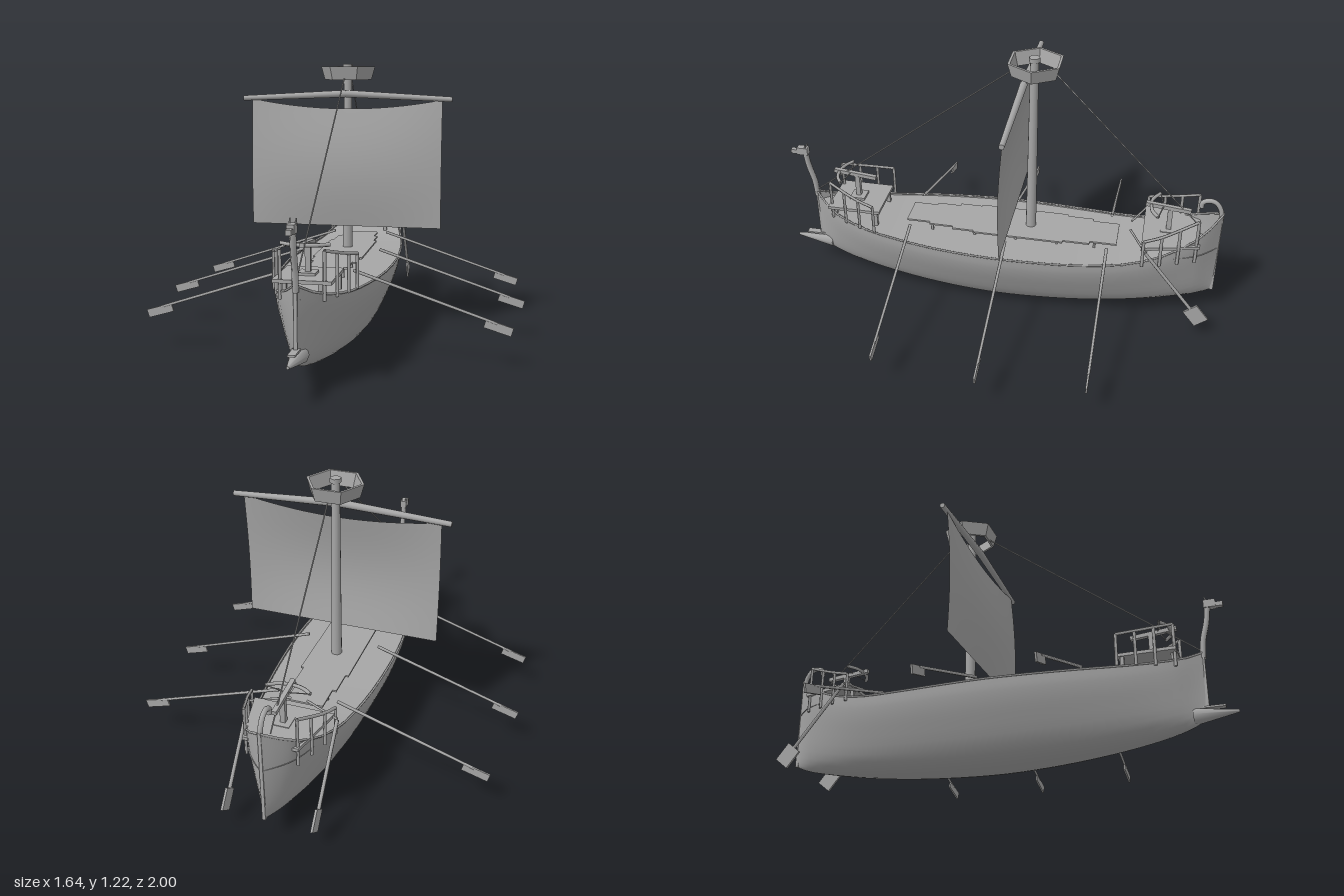
import * as THREE from 'three';

const V = (x, y, z) => new THREE.Vector3(x, y, z);

// hull stations from bow to stern: z, half width, keel height, sheer height
const STATIONS = [
  [0.88, 0.004, 0.15, 0.425], [0.84, 0.035, 0.115, 0.4], [0.76, 0.09, 0.085, 0.37],
  [0.6, 0.152, 0.052, 0.346], [0.4, 0.198, 0.025, 0.338], [0.2, 0.227, 0.008, 0.335],
  [0, 0.24, 0, 0.335], [-0.2, 0.236, 0.004, 0.335], [-0.4, 0.22, 0.016, 0.338],
  [-0.6, 0.19, 0.037, 0.352], [-0.75, 0.155, 0.06, 0.39], [-0.9, 0.1, 0.09, 0.465],
  [-0.96, 0.05, 0.11, 0.51], [-1, 0.004, 0.13, 0.545],
];

// half width at a given z
function widthAt(z) {
  const i = Math.max(1, STATIONS.findIndex((s) => s[0] <= z));
  const a = STATIONS[i - 1], b = STATIONS[i];
  return THREE.MathUtils.lerp(a[1], b[1], (a[0] - z) / (a[0] - b[0]));
}

// skin a grid of points, rows[i][j]
function loft(rows) {
  const n = rows[0].length, pos = [], idx = [];
  rows.forEach((r) => r.forEach((p) => pos.push(p.x, p.y, p.z)));
  for (let i = 0; i < rows.length - 1; i++) {
    for (let j = 0; j < n - 1; j++) {
      const a = i * n + j;
      idx.push(a, a + 1, a + n, a + 1, a + n + 1, a + n);
    }
  }
  const g = new THREE.BufferGeometry();
  g.setAttribute('position', new THREE.Float32BufferAttribute(pos, 3));
  g.setIndex(idx);
  g.computeVertexNormals();
  return g;
}

export function createModel() {
  const ship = new THREE.Group();
  ship.name = 'galley';
  const grey = new THREE.MeshStandardMaterial({ color: 0xa6a6a6, side: THREE.DoubleSide });
  grey.name = 'weathered grey';

  const add = (name, geo, parent = ship) => {
    const m = new THREE.Mesh(geo, grey);
    m.name = name;
    parent.add(m);
    return m;
  };
  const box = (name, w, h, d, x, y, z) => {
    const m = add(name, new THREE.BoxGeometry(w, h, d));
    m.position.set(x, y, z);
    return m;
  };
  // round bar between two points
  const bar = (name, a, b, r0, r1 = r0, sides = 6) => {
    const m = add(name, new THREE.CylinderGeometry(r1, r0, a.distanceTo(b), sides));
    m.position.copy(a).add(b).multiplyScalar(0.5);
    m.quaternion.setFromUnitVectors(V(0, 1, 0), b.clone().sub(a).normalize());
    return m;
  };
  const tube = (name, pts, r, sides = 6) =>
    add(name, new THREE.TubeGeometry(new THREE.CatmullRomCurve3(pts), 24, r, sides));

  // hull: smooth lofted skin
  const lengthwise = new THREE.CatmullRomCurve3(STATIONS.map((s) => V(s[1], s[2], s[0])));
  const sheerLine = new THREE.CatmullRomCurve3(STATIONS.map((s) => V(s[1], s[3], s[0])));
  const section = new THREE.CatmullRomCurve3(
    [[1, 1], [0.97, 0.83], [0.84, 0.56], [0.51, 0.135], [0, 0], [-0.51, 0.135], [-0.84, 0.56],
      [-0.97, 0.83], [-1, 1]].map(([x, y]) => V(x, y, 0))).getPoints(32);
  const steps = (STATIONS.length - 1) * 3;
  const rows = [], deckRows = [];
  for (let i = 0; i <= steps; i++) {
    const k = lengthwise.getPoint(i / steps), s = sheerLine.getPoint(i / steps);
    rows.push(section.map((p) => V(p.x * k.x, k.y + p.y * (s.y - k.y), k.z)));
    const y = Math.min(s.y - 0.008, 0.37), w = k.x * 0.985;
    deckRows.push([V(-w, y, k.z), V(0, y, k.z), V(w, y, k.z)]);
  }
  add('hull', loft(rows));
  add('deck', loft(deckRows.reverse()));
  for (const s of [1, -1]) {
    tube('gunwale', STATIONS.map((p) => V(s * p[1], p[3], p[0])), 0.005, 5);
  }

  // raised catwalk along the deck, wider around the mast
  for (const [z0, z1, w] of [[-0.55, -0.43, 0.08], [-0.43, -0.31, 0.097], [-0.31, 0.1, 0.11],
    [0.1, 0.2, 0.1], [0.2, 0.31, 0.085], [0.31, 0.42, 0.07]]) {
    box('catwalk', w * 2, 0.008, z1 - z0, 0, 0.368, (z0 + z1) / 2);
  }
  for (const z of [-0.45, -0.28, -0.09, 0.1, 0.3]) {
    for (const s of [1, -1]) box('catwalkPost', 0.01, 0.04, 0.01, s * 0.065, 0.346, z);
  }

  // mast, lookout and stays
  bar('mast', V(0, 0.32, -0.15), V(0, 1.2, -0.15), 0.024, 0.018, 12);
  bar('mastCap', V(0, 1.195, -0.15), V(0, 1.215, -0.15), 0.024, 0.024, 6);
  const nest = add('lookout', new THREE.LatheGeometry(
    [[0.108, 1.145], [0.125, 1.205], [0.113, 1.205], [0.097, 1.145], [0.108, 1.145]]
      .map(([x, y]) => new THREE.Vector2(x, y)), 6).toNonIndexed());
  nest.geometry.computeVertexNormals();
  nest.geometry.rotateY(Math.PI / 6 + Math.PI / 3 * 0.5 + Math.PI / 6);
  nest.position.z = -0.155;
  bar('foreStay', V(0, 1.15, -0.06), V(0, 0.43, 0.88), 0.003);
  bar('backStay', V(0, 1.15, -0.24), V(0, 0.47, -0.9), 0.003);

  // yard and billowing sail
  for (const s of [1, -1]) {
    bar('yard', V(0, 1.083, -0.105), V(s * 0.48, 1.06, -0.105), 0.017, 0.012, 10);
  }
  const sail = new THREE.PlaneGeometry(0.874, 1, 20, 16);
  const p = sail.attributes.position;
  for (let i = 0; i < p.count; i++) {
    const x = p.getX(i), t = p.getY(i) + 0.5, c = 1 - (x / 0.437) ** 2;
    const top = 1.058 - 0.043 * c;
    p.setY(i, 0.48 + t * (top - 0.48));
    p.setZ(i, -0.085 - 0.015 * t + Math.sin(Math.PI * t) * (0.012 + 0.022 * c));
  }
  sail.computeVertexNormals();
  add('sail', sail);

  // rowing oars with flat blades
  for (const [z, inner, outer] of [[-0.51, 0.13, 0.78], [-0.06, 0.165, 0.815], [0.39, 0.125, 0.772]]) {
    for (const s of [1, -1]) {
      const a = V(s * inner, 0.38, z), b = V(s * (outer - 0.06), 0.185, z);
      bar('oarShaft', a, b, 0.007, 0.006);
      const blade = box('oarBlade', 0.115, 0.036, 0.008, s * (outer - 0.055), 0.169, z);
      blade.rotation.z = -s * 0.29;
    }
  }

  // steering oars and tillers
  for (const s of [1, -1]) {
    bar('steeringShaft', V(s * 0.19, 0.425, -0.68), V(s * 0.19, 0.15, -0.9), 0.008);
    const blade = box('steeringBlade', 0.01, 0.09, 0.072, s * 0.19, 0.115, -0.928);
    blade.rotation.x = 0.675;
    bar('tiller', V(s * 0.19, 0.428, -0.68), V(s * 0.035, 0.428, -0.605), 0.005);
  }

  // fighting platforms with legs and railings
  const platform = (name, zs, halfEnds, y, rail) => {
    const shape = new THREE.Shape([[-halfEnds[0], -zs[0]], [halfEnds[0], -zs[0]],
      [halfEnds[1], -zs[1]], [-halfEnds[1], -zs[1]]].map(([x, v]) => new THREE.Vector2(x, v)));
    const g = new THREE.ExtrudeGeometry(shape, { depth: 0.014, bevelEnabled: false });
    g.rotateX(-Math.PI / 2);
    add(name + 'Platform', g).position.y = y - 0.007;
    for (const s of [1, -1]) {
      const top = [];
      for (let i = 0; i < 4; i++) {
        const z = THREE.MathUtils.lerp(rail.z0, rail.z1, i / 3);
        const h = THREE.MathUtils.lerp(rail.y0, rail.y1, (i / 3) ** 1.2);
        const x = s * (widthAt(z) + 0.006);
        bar(name + 'RailPost', V(x, 0.345, z), V(x, h, z), 0.007, 0.007, 4);
        top.push(V(x, h, z));
      }
      tube(name + 'Rail', top, 0.007, 5);
      for (const z of zs) {
        const leg = z + (z === zs[0] ? -1 : 1) * Math.sign(zs[0] - zs[1]) * 0.02;
        box(name + 'Leg', 0.016, 0.08, 0.016, s * Math.min(0.1, widthAt(leg) * 0.8), 0.38, leg);
      }
    }
  };
  platform('bow', [0.785, 0.54], [0.115, 0.115], 0.415, { z0: 0.55, z1: 0.775, y0: 0.485, y1: 0.535 });
  platform('stern', [-0.66, -0.91], [0.172, 0.115], 0.428, { z0: -0.67, z1: -0.895, y0: 0.475, y1: 0.56 });

  // bolt throwers: pedestal, stock, curved bow and string
  const thrower = (name, z, base) => {
    const g = new THREE.Group();
    g.name = name;
    const put = (m) => g.add(m);
    put(box('pedestal', 0.022, 0.12, 0.022, 0, base + 0.06, 0));
    put(box('pedestalFoot', 0.07, 0.012, 0.07, 0, base + 0.012, 0));
    const stock = box('stock', 0.02, 0.018, 0.2, 0, base + 0.128, 0.01);
    stock.rotation.x = -0.1;
    put(stock);
    put(tube('bowArms', [V(-0.095, base + 0.134, 0.05), V(-0.05, base + 0.134, 0.078),
      V(0, base + 0.134, 0.085), V(0.05, base + 0.134, 0.078), V(0.095, base + 0.134, 0.05)], 0.008));
    for (const s of [1, -1]) {
      put(bar('bowString', V(s * 0.095, base + 0.134, 0.05), V(0, base + 0.134, 0.03), 0.003, 0.003, 4));
    }
    g.position.z = z;
    ship.add(g);
  };
  thrower('bowThrower', 0.67, 0.415);
  thrower('sternThrower', -0.77, 0.42);

  // carved prow: neck, head and crest
  tube('prowNeck', [V(0, 0.4, 0.878), V(0, 0.48, 0.885), V(0, 0.56, 0.905), V(0, 0.63, 0.915)], 0.013, 6);
  box('prowHead', 0.03, 0.035, 0.05, 0, 0.642, 0.925);
  box('prowSnout', 0.022, 0.02, 0.045, 0, 0.636, 0.958);
  for (const s of [1, -1]) bar('prowEar', V(s * 0.01, 0.65, 0.915), V(s * 0.012, 0.677, 0.905), 0.006, 0.002, 4);
  box('stem', 0.014, 0.28, 0.014, 0, 0.285, 0.877);

  // ram with a top fin
  bar('ram', V(0, 0.15, 0.82), V(0, 0.155, 1), 0.038, 0.006, 8);
  box('ramFin', 0.03, 0.008, 0.09, 0, 0.182, 0.905);

  // curled sternpost
  box('sternPost', 0.014, 0.42, 0.014, 0, 0.335, -0.993);
  tube('sternCurl', [V(0, 0.5, -0.992), V(0, 0.56, -0.985), V(0, 0.597, -0.96), V(0, 0.605, -0.93),
    V(0, 0.592, -0.903), V(0, 0.568, -0.9)], 0.011, 8);

  return ship;
}
